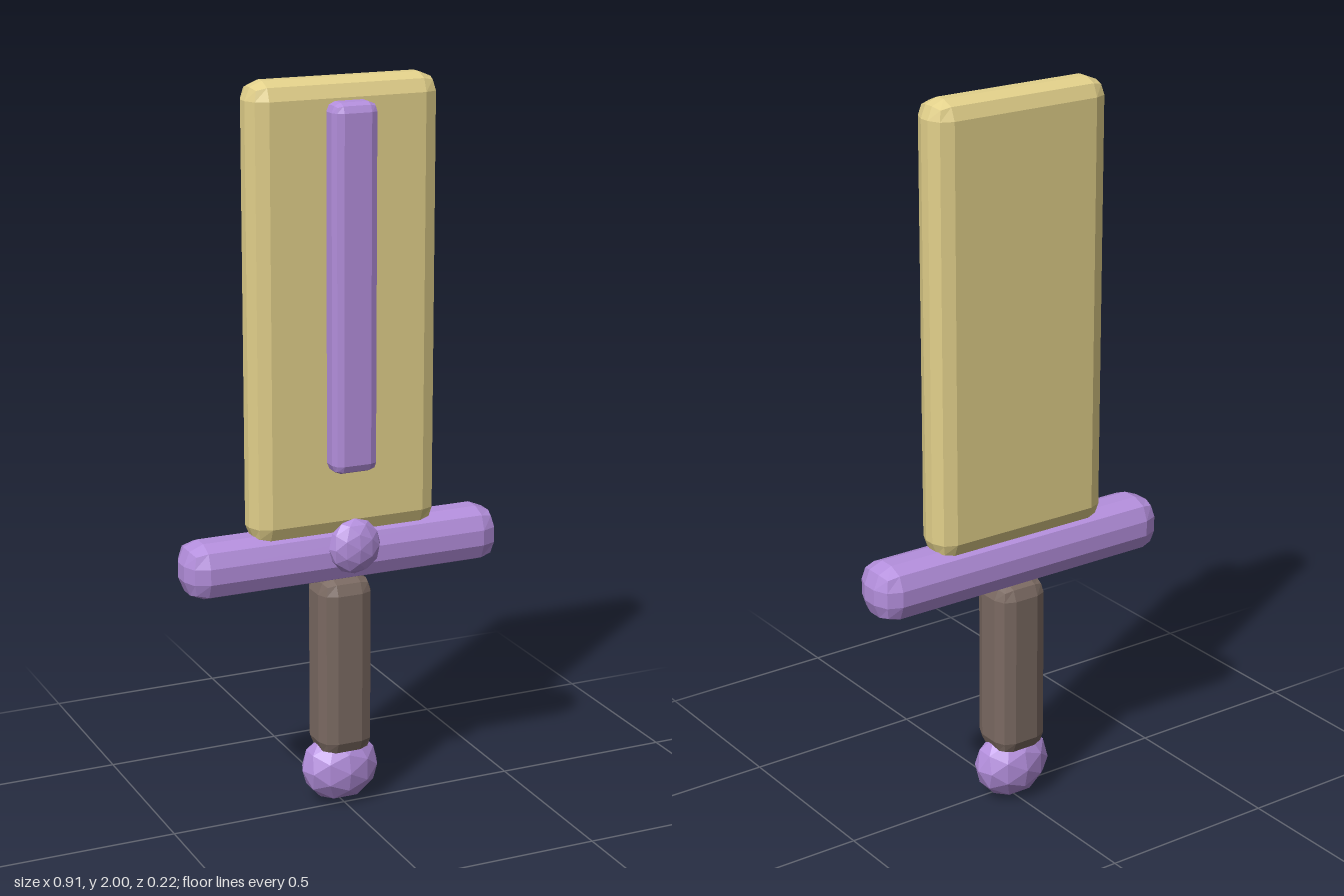
import * as THREE from 'three';
import { RoundedBoxGeometry } from 'three/addons/geometries/RoundedBoxGeometry.js';

export function createModel() {
  const sword = new THREE.Group();
  sword.name = 'sword';

  const paint = (color) => new THREE.MeshStandardMaterial({ color, flatShading: true });
  const gold = paint(0xe3d18b);
  const purple = paint(0xb48fdd);
  const brown = paint(0x7b6a62);

  const add = (name, geometry, material, x, y, z) => {
    const mesh = new THREE.Mesh(geometry, material);
    mesh.name = name;
    mesh.position.set(x, y, z);
    sword.add(mesh);
    return mesh;
  };

  // Bevelled bar given by its half width, y range and z range
  const bar = (name, material, halfX, [y0, y1], [z0, z1], bevel) =>
    add(name, new RoundedBoxGeometry(halfX * 2, y1 - y0, z1 - z0, 1, bevel),
      material, 0, (y0 + y1) / 2, (z0 + z1) / 2);

  // Faceted, squashed ball
  const ball = (name, y, z, rx, ry, rz) =>
    add(name, new THREE.IcosahedronGeometry(1, 1).scale(rx, ry, rz), purple, 0, y, z);

  // Blade with a raised strip on its front
  bar('blade', gold, 0.266, [0.78, 2.0], [-0.095, 0.03], 0.048);
  bar('bladeStrip', purple, 0.063, [0.97, 1.945], [0.0, 0.088], 0.025);

  // Cross guard with a gem
  bar('guard', purple, 0.454, [0.65, 0.803], [-0.11, 0.044], 0.055);
  ball('guardGem', 0.767, 0.068, 0.074, 0.077, 0.04);

  // Grip and pommel
  bar('grip', brown, 0.077, [0.15, 0.66], [-0.101, 0.042], 0.042);
  ball('pommel', 0.1, -0.03, 0.112, 0.1, 0.077);

  return sword;
}
